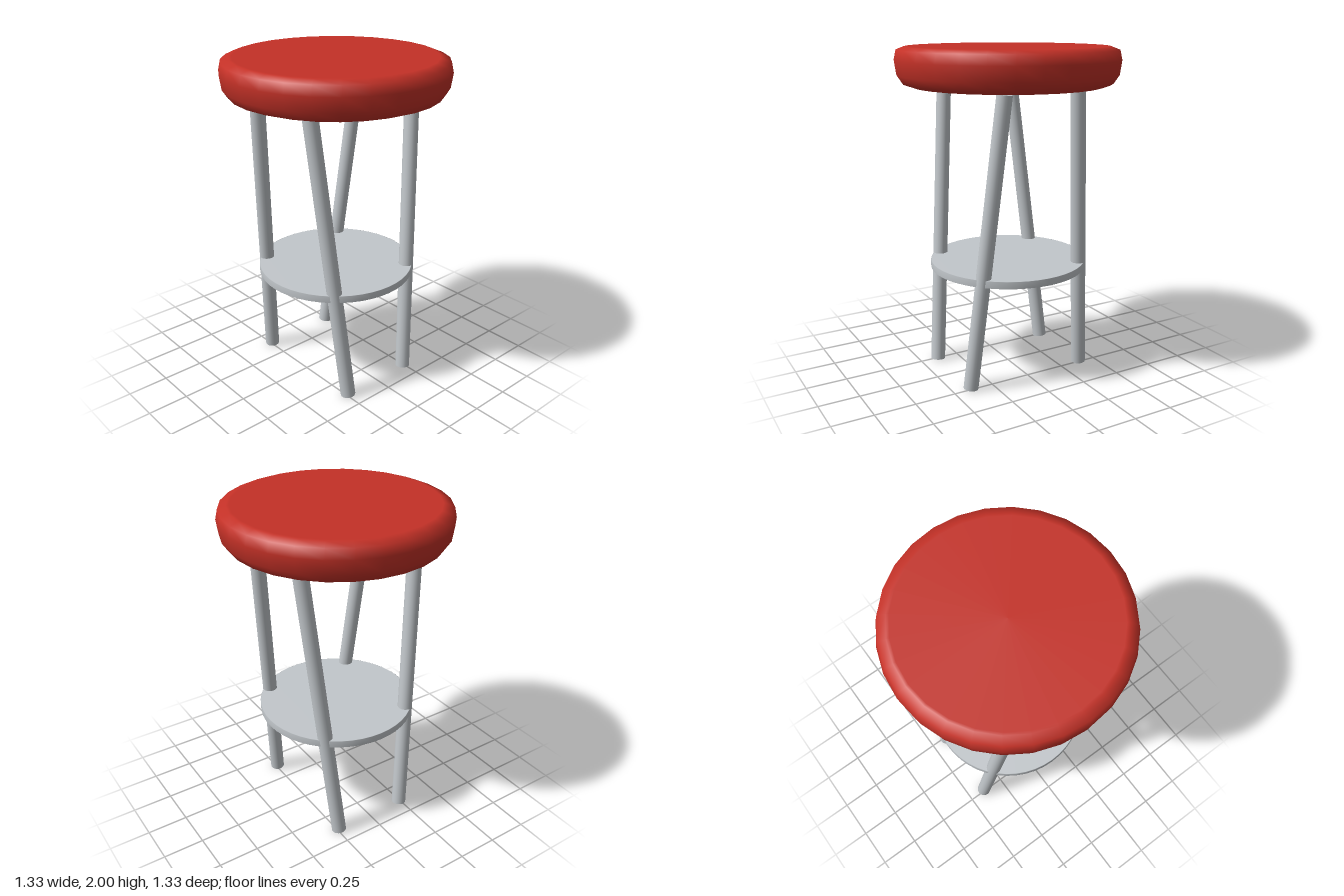
import * as THREE from 'three';

const seatRed = new THREE.MeshStandardMaterial({ name: 'seatRed', color: 0xc43127 });
const metalGrey = new THREE.MeshStandardMaterial({ name: 'metalGrey', color: 0xc2c7cb });

// Round part from a profile of [radius, y], bottom to top
function turned(name, profile, segments, material) {
  const points = profile.map(([r, y]) => new THREE.Vector2(r, y));
  const mesh = new THREE.Mesh(new THREE.LatheGeometry(points, segments), material);
  mesh.name = name;
  return mesh;
}

// Straight capped tube between two points
function rod(name, from, to, radius, material) {
  const axis = to.clone().sub(from);
  const mesh = new THREE.Mesh(new THREE.CylinderGeometry(radius, radius, axis.length(), 20), material);
  mesh.position.copy(from).add(to).multiplyScalar(0.5);
  mesh.quaternion.setFromUnitVectors(new THREE.Vector3(0, 1, 0), axis.normalize());
  mesh.name = name;
  return mesh;
}

export function createModel() {
  const stool = new THREE.Group();
  stool.name = 'barStool';

  // Padded seat with a rounded rim and flat faces
  stool.add(turned('seat', [
    [0, 1.767], [0.54, 1.767], [0.565, 1.768], [0.622, 1.788], [0.655, 1.837],
    [0.667, 1.922], [0.654, 1.98], [0.605, 1.999], [0.59, 2], [0, 2],
  ], 28, seatRed));

  // Footrest disc with softened edges
  stool.add(turned('footrest', [
    [0, 0.662], [0.477, 0.662], [0.48, 0.663], [0.48, 0.705], [0.477, 0.706], [0, 0.706],
  ], 48, metalGrey));

  // Four slanted legs, mirrored in x and z
  for (const sx of [1, -1]) {
    for (const sz of [1, -1]) {
      const name = (sz > 0 ? 'front' : 'back') + (sx > 0 ? 'Left' : 'Right') + 'Leg';
      const foot = new THREE.Vector3(0.388 * sx, 0.006, 0.238 * sz);
      const top = new THREE.Vector3(0.238 * sx, 1.761, 0.388 * sz);
      stool.add(rod(name, foot, top, 0.045, metalGrey));
    }
  }
  return stool;
}
